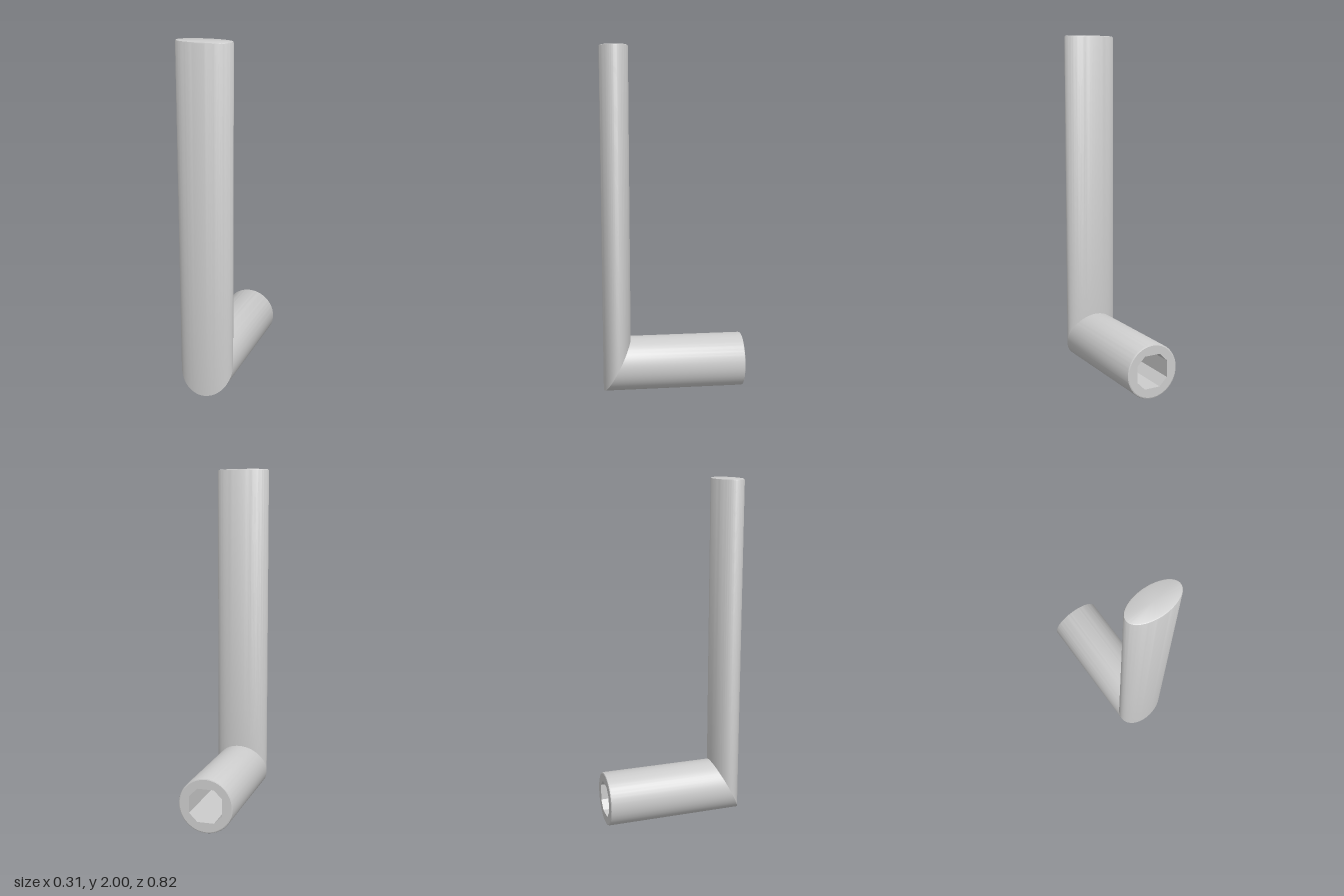
import * as THREE from 'three';
import { toCreasedNormals } from 'three/addons/utils/BufferGeometryUtils.js';

const R = 0.157;        // spindle radius and grip half width
const D = 0.081;        // grip half depth
const GZ = 0.412 - D;   // grip centre in z
const BACK = -0.412;
const B = 0.008;        // edge rounding
const N = 96;

// Skin a list of equal-length rings of points
function loft(rings) {
  const n = rings[0].length, pos = rings.flat(2), idx = [];
  for (let i = 0; i < rings.length - 1; i++) {
    for (let j = 0; j < n; j++) {
      const k = (j + 1) % n, a = i * n, b = a + n;
      idx.push(a + j, b + j, a + k, a + k, b + j, b + k);
    }
  }
  const g = new THREE.BufferGeometry();
  g.setAttribute('position', new THREE.Float32BufferAttribute(pos, 3));
  g.setIndex(idx);
  return toCreasedNormals(g, 0.6);
}

const ring = (f) => Array.from({ length: N }, (_, j) => {
  const a = (j / N) * Math.PI * 2;
  return f(Math.cos(a), Math.sin(a));
});
const roundRing = (r, z) => ring((c, s) => [r * c, R - r * s, z]);
const ovalRing = (inset, y) => ring((c, s) => [(R - inset) * c, y, GZ + (D - inset) * s]);
const mitreRing = () => ring((c, s) => [R * c, R - R * s, GZ + D * s]);

export function createModel() {
  const group = new THREE.Group();
  const mat = new THREE.MeshStandardMaterial({ color: 0xcccccc });
  const add = (name, geo) => {
    const m = new THREE.Mesh(geo, mat);
    m.name = name;
    group.add(m);
    return m;
  };

  // Round neck running forward to the mitre
  add('neck', loft([
    roundRing(R - B, BACK), roundRing(R - B * 0.3, BACK + B * 0.3),
    roundRing(R, BACK + B), mitreRing(),
  ]));

  // Oval grip rising from the mitre, closed on top
  add('grip', loft([
    mitreRing(), ovalRing(0, 2 - B), ovalRing(B * 0.3, 2 - B * 0.3),
    ovalRing(B, 2), ring(() => [0, 2, GZ]),
  ]));

  // Square socket with chamfered corners
  const h = 0.095, c = 0.048;
  const outline = [[h, c], [c, h], [-c, h], [-h, c], [-h, -c], [-c, -h], [c, -h], [h, -c]];
  const socketRing = (s, z) => outline.map(([x, y]) => [x * s, R + y * s, z]);
  const floor = BACK + 0.45;
  add('socket', loft([socketRing(1, BACK), socketRing(1, floor), socketRing(0, floor)]));

  // Flat end face around the socket
  const face = new THREE.Shape().absarc(0, 0, R - B, 0, Math.PI * 2);
  face.holes.push(new THREE.Path(outline.map(([x, y]) => new THREE.Vector2(x, y))));
  const end = add('endFace', new THREE.ShapeGeometry(face, N / 2));
  end.position.set(0, R, BACK);
  end.rotation.y = Math.PI;

  return group;
}
